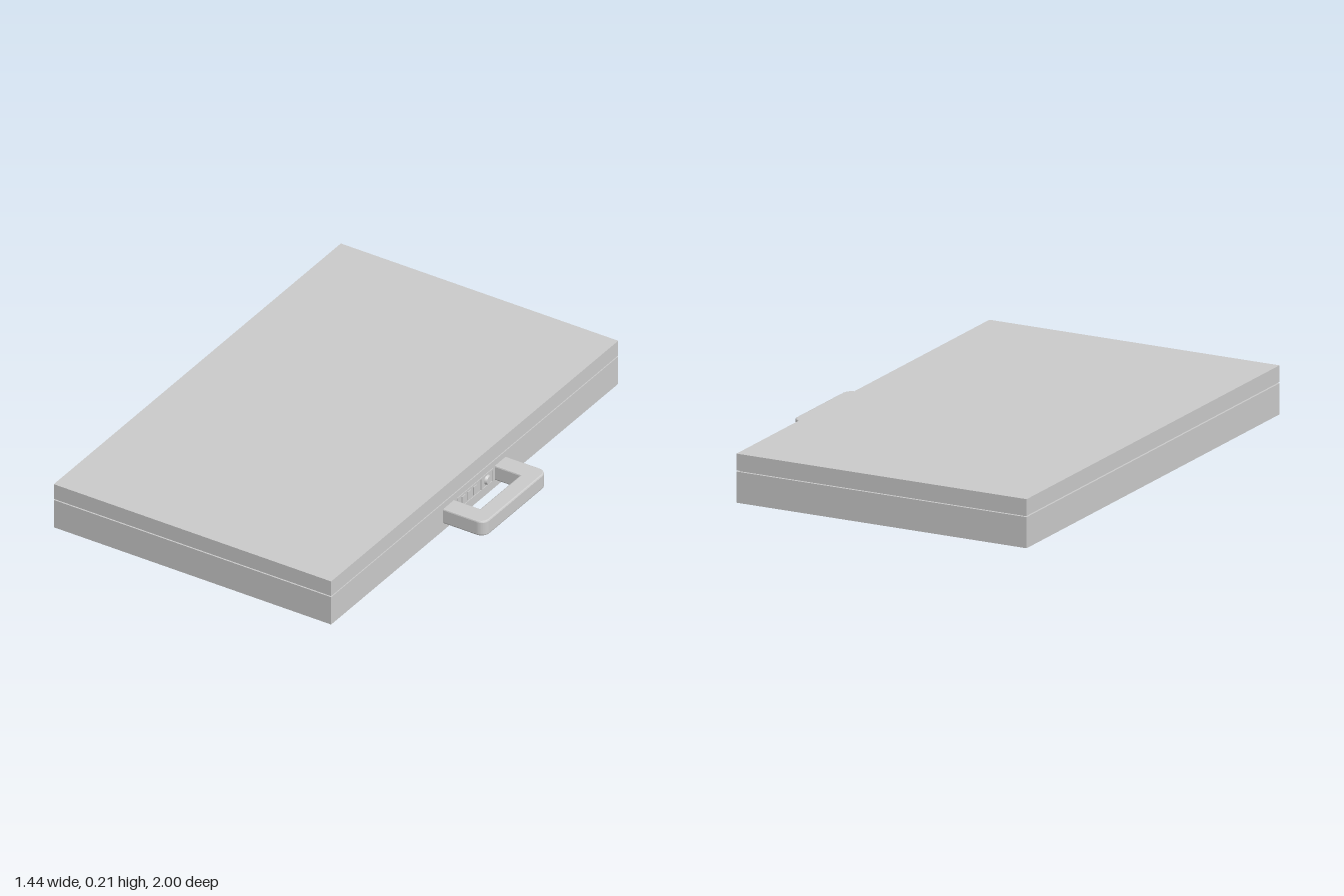
import * as THREE from 'three';

const CX = -0.095, W = 1.25, L = 2; // case centre and footprint

export function createModel() {
  const group = new THREE.Group();
  const material = new THREE.MeshStandardMaterial({ color: 0xcccccc });
  const add = (name, geometry, x = 0, y = 0, z = 0) => {
    const mesh = new THREE.Mesh(geometry, material);
    mesh.name = name;
    mesh.position.set(x, y, z);
    group.add(mesh);
    return mesh;
  };
  // Box given by its vertical range
  const slab = (name, w, y0, y1, d, x = CX, z = 0) =>
    add(name, new THREE.BoxGeometry(w, y1 - y0, d), x, (y0 + y1) / 2, z);

  // Case halves, with a recessed core showing in the seam
  slab('lowerShell', W, 0.015, 0.138, L);
  slab('seamCore', W - 0.02, 0.13, 0.15, L - 0.02);
  slab('lid', W, 0.143, 0.209, L);

  // Gently bulging underside, vertices gathered towards the rim
  const base = new THREE.PlaneGeometry(2, 2, 24, 24).rotateX(Math.PI / 2);
  const p = base.attributes.position;
  for (let i = 0; i < p.count; i++) {
    const u = Math.sin(p.getX(i) * Math.PI / 2), v = Math.sin(p.getZ(i) * Math.PI / 2);
    const bulge = (1 - u ** 12) * (1 - v ** 12);
    p.setXYZ(i, u * W / 2, 0.015 * (1 - bulge), v * L / 2);
  }
  base.computeVertexNormals();
  add('bulgedBase', base, CX);

  // U-shaped carrying handle with softened edges
  const b = 0.006, x0 = 0.52, x1 = 0.716 - b, h = 0.22 - b, r = 0.03;
  const xi = 0.645 + b, hi = 0.14 + b;
  const u = new THREE.Shape();
  u.moveTo(x0, -h);
  u.lineTo(x1 - r, -h);
  u.absarc(x1 - r, -h + r, r, -Math.PI / 2, 0, false);
  u.lineTo(x1, h - r);
  u.absarc(x1 - r, h - r, r, 0, Math.PI / 2, false);
  u.lineTo(x0, h);
  u.lineTo(x0, hi);
  u.lineTo(xi, hi);
  u.lineTo(xi, -hi);
  u.lineTo(x0, -hi);
  u.closePath();
  const handle = new THREE.ExtrudeGeometry(u, {
    depth: 0.065 - 2 * b, bevelEnabled: true, bevelSize: b, bevelThickness: b,
    bevelSegments: 2, curveSegments: 6,
  });
  handle.rotateX(Math.PI / 2);
  add('handle', handle, 0, 0.112 - b, 0);

  // Lock panel between the handle arms: frame, dials and a round button
  const face = W / 2 + CX;
  for (const y of [0.05, 0.104]) slab('lockFrameRail', 0.006, y, y + 0.006, 0.25, face);
  for (const z of [-0.122, -0.045, 0.122]) slab('lockFramePost', 0.006, 0.05, 0.11, 0.006, face, z);
  for (const z of [0, 0.04, 0.08]) slab('lockDial', 0.007, 0.062, 0.098, 0.022, face, z);
  const button = new THREE.CylinderGeometry(0.016, 0.021, 0.012, 20).rotateZ(-Math.PI / 2);
  add('lockButton', button, face + 0.004, 0.08, -0.086);

  return group;
}
